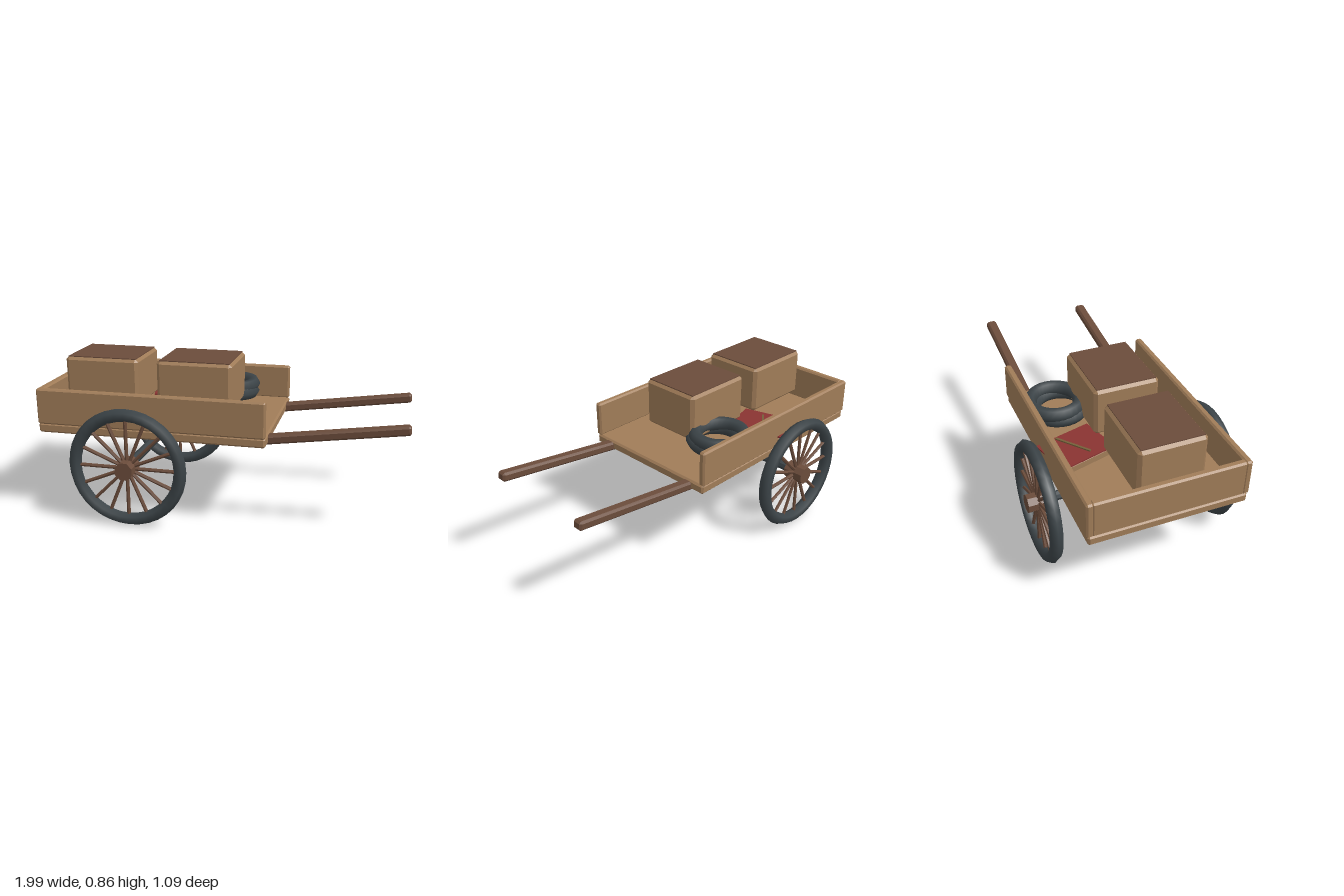
import * as THREE from 'three';
import { ConvexGeometry } from 'three/addons/geometries/ConvexGeometry.js';

const mat = (name, color) => Object.assign(new THREE.MeshStandardMaterial({ color }), { name });

// box with every edge cut by a flat chamfer
function chamferBox(w, h, d, c) {
  const pts = [];
  for (const x of [-w / 2, w / 2]) for (const y of [-h / 2, h / 2]) for (const z of [-d / 2, d / 2]) {
    const ix = x - Math.sign(x) * c, iy = y - Math.sign(y) * c, iz = z - Math.sign(z) * c;
    pts.push(new THREE.Vector3(x, iy, iz), new THREE.Vector3(ix, y, iz), new THREE.Vector3(ix, iy, z));
  }
  return new ConvexGeometry(pts);
}

// faceted cylinder with hard edges
function faceted(r, length, sides) {
  const g = new THREE.CylinderGeometry(r, r, length, sides).toNonIndexed();
  g.computeVertexNormals();
  return g;
}

export function createModel() {
  const root = new THREE.Group();
  root.name = 'handCart';
  const wood = mat('lightWood', 0xa07c58);
  const brown = mat('darkWood', 0x6b4c3b);
  const iron = mat('darkIron', 0x3c4448);
  const red = mat('redCloth', 0x8a3432);
  const olive = mat('oliveStrap', 0x75603a);

  const add = (parent, name, geo, material, x = 0, y = 0, z = 0) => {
    const m = new THREE.Mesh(geo, material);
    m.name = name;
    m.position.set(x, y, z);
    parent.add(m);
    return m;
  };

  // Bed, open at the shaft end
  add(root, 'bedFloor', chamferBox(1.26, 0.053, 0.83, 0.01), wood, -0.37, 0.494, 0);
  add(root, 'tailBoard', chamferBox(0.04, 0.198, 0.79, 0.009), wood, -0.98, 0.616, 0);
  for (const s of [1, -1]) {
    add(root, 'sideBoard', chamferBox(1.26, 0.198, 0.038, 0.009), wood, -0.37, 0.616, s * 0.404);
    const shaft = add(root, 'pullShaft', chamferBox(0.8, 0.05, 0.058, 0.011), brown, 0.592, 0.534, s * 0.306);
    shaft.rotation.z = 0.14;
  }

  // Axle and spoked wheels
  const axle = add(root, 'axle', faceted(0.026, 0.9, 8), iron, -0.47, 0.333, 0);
  axle.rotation.x = Math.PI / 2;
  const spokeGeo = faceted(0.01, 0.25, 6);
  for (const s of [1, -1]) {
    const wheel = new THREE.Group();
    wheel.name = s > 0 ? 'leftWheel' : 'rightWheel';
    wheel.position.set(-0.47, 0.328, s * 0.487);
    add(wheel, 'rim', new THREE.TorusGeometry(0.293, 0.035, 6, 36), iron);
    const hub = add(wheel, 'hub', faceted(0.051, 0.12, 8), brown);
    hub.rotation.set(Math.PI / 2, Math.PI / 8, 0);
    for (let i = 0; i < 16; i++) {
      const a = i * Math.PI / 8;
      const spoke = add(wheel, 'spoke', spokeGeo, brown, -Math.sin(a) * 0.155, Math.cos(a) * 0.155, 0);
      spoke.rotation.z = a;
    }
    root.add(wheel);
  }

  // Two crates with dark lids
  for (const x of [-0.695, -0.169]) {
    add(root, 'crate', chamferBox(0.42, 0.27, 0.36, 0.018), wood, x, 0.72, 0.048);
    add(root, 'crateLid', new THREE.BoxGeometry(0.39, 0.006, 0.33), brown, x, 0.854, 0.048);
  }

  // Two spare hoops, loosely stacked
  const hoopGeo = new THREE.TorusGeometry(0.135, 0.038, 6, 28);
  const lower = add(root, 'lowerHoop', hoopGeo, iron, -0.067, 0.598, -0.217);
  lower.rotation.x = Math.PI / 2 - 0.04;
  const upper = add(root, 'upperHoop', hoopGeo, iron, -0.067, 0.635, -0.24);
  upper.rotation.x = Math.PI / 2;

  // Flat red-topped bundle with a thin strap
  const bundle = new THREE.Group();
  bundle.name = 'bundle';
  bundle.position.set(-0.42, 0, -0.255);
  bundle.rotation.y = 0.27;
  add(bundle, 'bundleBody', chamferBox(0.23, 0.05, 0.305, 0.008), wood, 0, 0.554, 0);
  add(bundle, 'bundleCover', new THREE.BoxGeometry(0.238, 0.008, 0.324), red, 0, 0.582, 0);
  root.add(bundle);
  const strap = add(root, 'strap', new THREE.BoxGeometry(0.206, 0.008, 0.012), olive, -0.41, 0.589, -0.265);
  strap.rotation.y = 0.68;

  return root;
}
